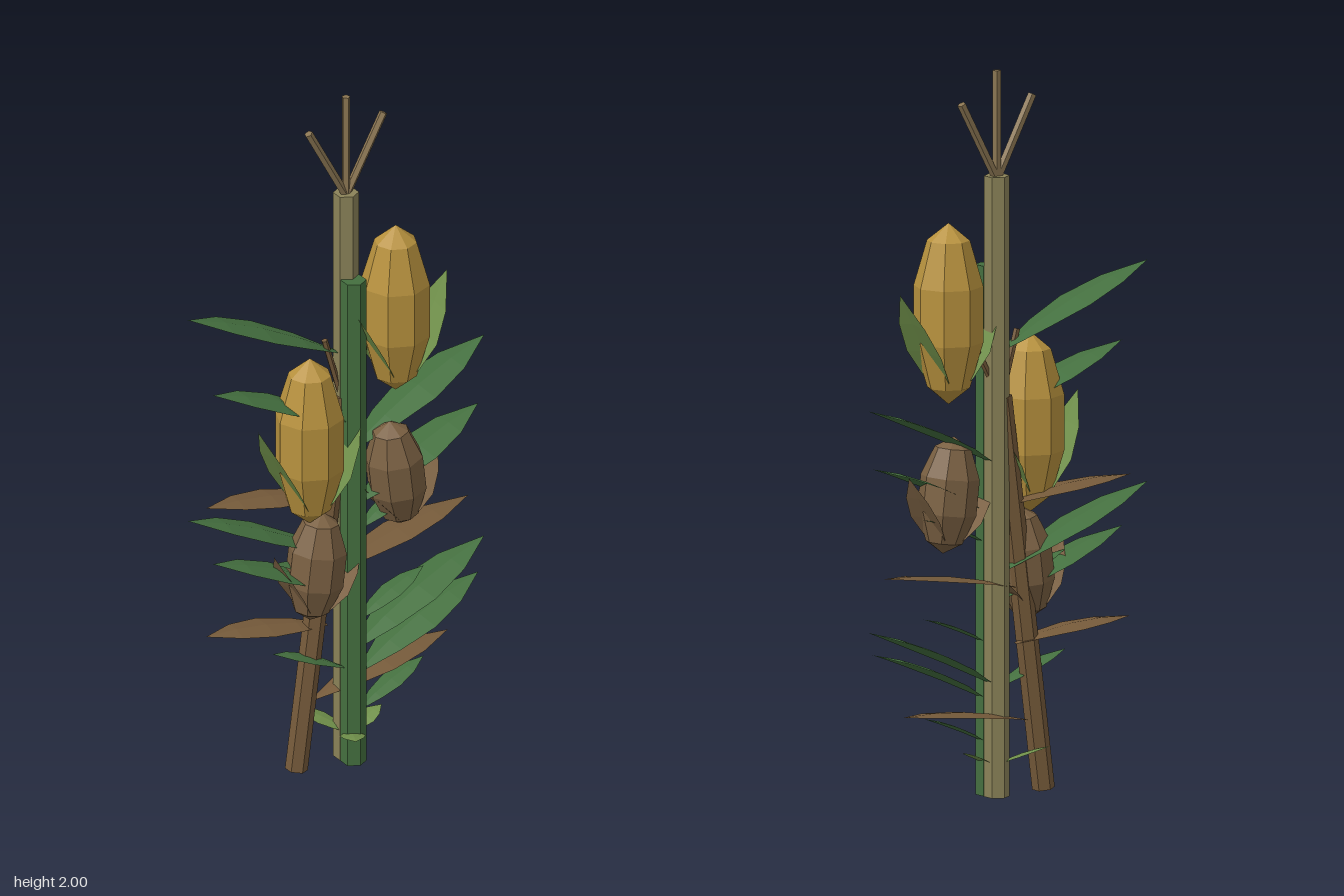
import * as THREE from 'three';

const mat = (color) => new THREE.MeshStandardMaterial({ color, flatShading: true, side: THREE.DoubleSide });

const V = (x, y, z) => new THREE.Vector3(x, y, z);

export function createModel() {
  const model = new THREE.Group();
  const tan = mat(0x8a8258), green = mat(0x446f3f), brown = mat(0x755a3a);
  const gold = mat(0xb8923e), lightGreen = mat(0x6f8f4a), huskBrown = mat(0x7a6042), rodTan = mat(0x8a7552);

  const add = (name, geometry, material, parent = model) => {
    const mesh = new THREE.Mesh(geometry, material);
    mesh.name = name;
    parent.add(mesh);
    return mesh;
  };

  // straight rod between two points
  function rod(name, a, b, radius, sides, material) {
    const mesh = add(name, new THREE.CylinderGeometry(radius, radius, a.distanceTo(b), sides), material);
    mesh.position.copy(a).lerp(b, 0.5);
    mesh.quaternion.setFromUnitVectors(V(0, 1, 0), b.clone().sub(a).normalize());
  }

  // lance-shaped blade with a slight crease along its midrib
  function leaf(name, base, tip, width, arch, material, parent = model) {
    const profile = [0.12, 0.72, 1, 0.75, 0];
    const dir = tip.clone().sub(base);
    const side = V(dir.z, 0, -dir.x).normalize();
    const pos = [], index = [];
    profile.forEach((w, i) => {
      const t = i / (profile.length - 1);
      const mid = base.clone().addScaledVector(dir, t);
      mid.y += arch * 4 * t * (1 - t);
      for (const s of [-1, 0, 1]) {
        const p = mid.clone().addScaledVector(side, s * w * width / 2);
        p.y -= Math.abs(s) * w * width * 0.07;
        pos.push(p.x, p.y, p.z);
      }
      if (i === 0) return;
      for (let k = 0; k < 2; k++) {
        const a = (i - 1) * 3 + k, b = a + 3;
        index.push(a, a + 1, b, a + 1, b + 1, b);
      }
    });
    const geometry = new THREE.BufferGeometry();
    geometry.setAttribute('position', new THREE.Float32BufferAttribute(pos, 3));
    geometry.setIndex(index);
    geometry.computeVertexNormals();
    add(name, geometry, material, parent);
  }

  // faceted ear with a husk blade on each side
  function ear(name, x, y, radius, half, tilt, material, huskMaterial) {
    const group = new THREE.Group();
    group.name = name;
    group.position.set(x, y, 0.018);
    group.rotation.z = tilt;
    add(name + 'Kernel', new THREE.SphereGeometry(1, 8, 5).scale(radius, half, radius), material, group);
    for (const s of [-1, 1]) {
      leaf(name + 'Husk', V(0, -half * 0.95, 0), V(s * radius * 1.65, half * 0.28, 0),
        radius * 1.55, -half * 0.04, huskMaterial, group);
    }
    model.add(group);
  }

  // three stalks
  rod('tallStalk', V(0, 0, -0.02), V(0, 1.71, -0.02), 0.035, 6, tan);
  rod('greenStalk', V(0, 0, 0.018), V(0, 1.46, 0.018), 0.035, 6, green);
  rod('dryStalk', V(-0.16, 0.003, -0.018), V(-0.015, 1.1, -0.018), 0.031, 6, brown);

  // tassels
  for (const [x, y] of [[-0.12, 1.92], [0, 2], [0.12, 1.92]]) {
    rod('tassel', V(0, 1.7, -0.02), V(x, y, -0.02), 0.012, 5, rodTan);
  }
  for (const [x, y] of [[-0.07, 1.28], [0.018, 1.33], [0.078, 1.26]]) {
    rod('dryTassel', V(-0.015, 1.09, -0.018), V(x, y, -0.018), 0.009, 5, brown);
  }

  // ears
  ear('rightSideEar', 0.135, 1.34, 0.1, 0.25, 0, gold, lightGreen);
  ear('leftSideEar', -0.14, 1.01, 0.1, 0.25, 0, gold, lightGreen);
  ear('dryEarA', 0.135, 0.84, 0.085, 0.16, 0.12, huskBrown, huskBrown);
  ear('dryEarB', -0.12, 0.625, 0.085, 0.16, -0.12, huskBrown, huskBrown);

  // leaves climbing the stalks on alternating sides
  for (let i = 0; i < 4; i++) {
    const s = i % 2 ? -1 : 1;
    const y = 0.315 + i * 0.305;
    leaf('largeLeaf', V(s * 0.02, y, -0.022), V(s * 0.475, y + 0.2, -0.07), 0.155, 0.022, green);
    const y2 = 0.27 + i * 0.256;
    leaf('mediumLeaf', V(s * 0.02, y2, 0.018), V(s * 0.425, y2 + 0.17, -0.022), 0.15, 0.022, green);
  }
  for (let i = 0; i < 5; i++) {
    const s = i % 2 ? -1 : 1;
    const y = 0.15 + i * 0.137;
    leaf('smallLeaf', V(s * 0.02, y, 0.015), V(s * 0.242, y + 0.09, -0.01), 0.08, 0.012, green);
  }

  // dry leaves of the leaning stalk
  for (const [x0, y0, x1, y1] of [
    [-0.1, 0.2, 0.355, 0.265], [-0.06, 0.415, -0.42, 0.455],
    [-0.06, 0.57, 0.42, 0.655], [-0.03, 0.8, -0.42, 0.845],
  ]) {
    leaf('dryLeaf', V(x0, y0, -0.022), V(x1, y1, -0.065), 0.125, 0.018, brown);
  }

  // small shoots around the foot
  for (const [x, y, z] of [[-0.11, 0.14, -0.115], [-0.05, 0.11, 0.108], [0.108, 0.13, -0.01]]) {
    leaf('footShoot', V(0, 0.08, 0), V(x, y, z), 0.07, 0.008, lightGreen);
  }

  return model;
}
